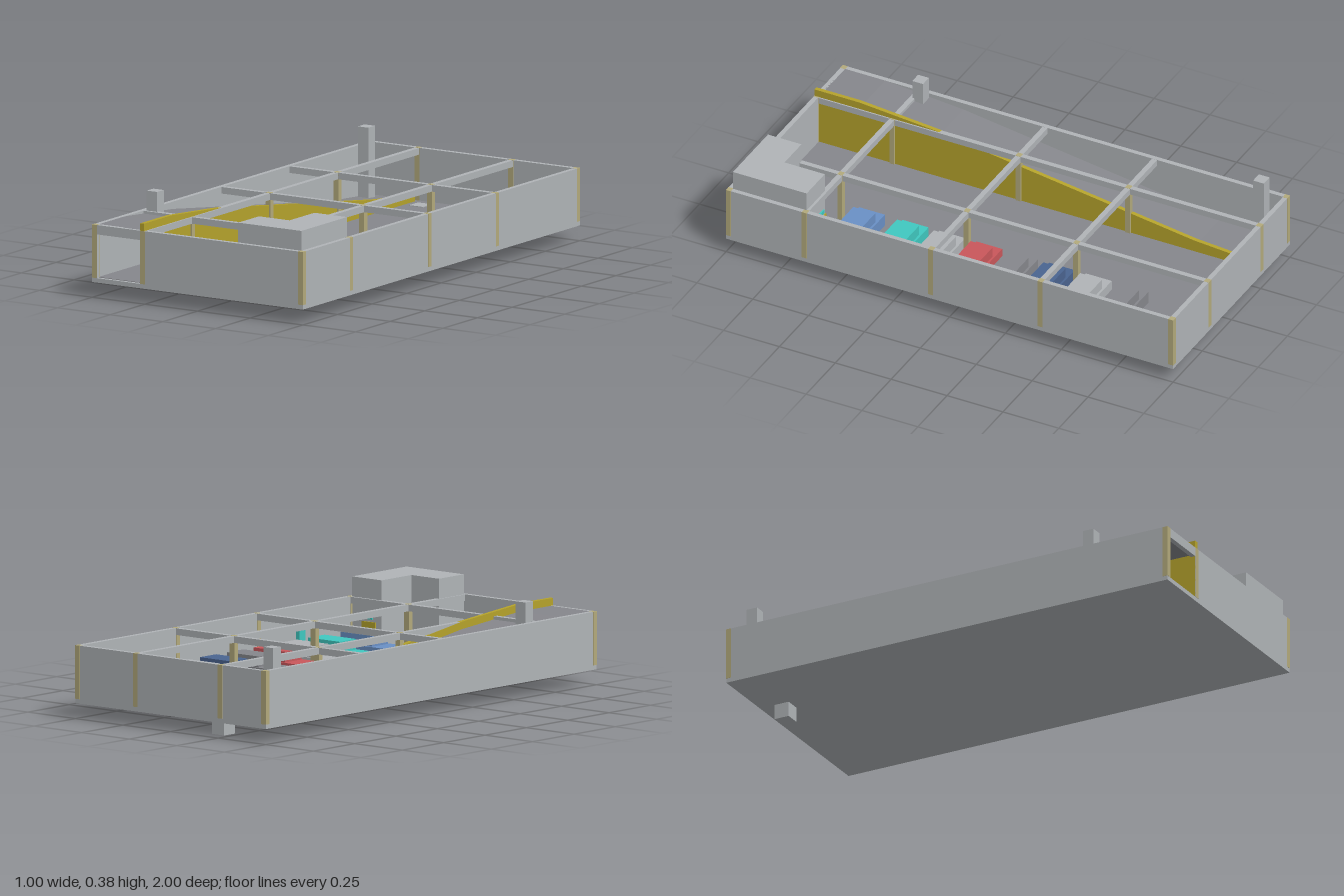
import * as THREE from 'three';

const mat = (name, color) => {
  const m = new THREE.MeshStandardMaterial({ color });
  m.name = name;
  return m;
};

export function createModel() {
  const M = {
    concrete: mat('light concrete', 0xb0b4b7),
    floor: mat('dark floor', 0x86878c),
    yellow: mat('guard yellow', 0xb5a32c),
    khaki: mat('column khaki', 0xb3aa7c),
    red: mat('red paint', 0xc9575b),
    teal: mat('teal paint', 0x40c8c0),
    navy: mat('navy paint', 0x4a6490),
    blue: mat('blue paint', 0x6a90c6),
  };
  const root = new THREE.Group();
  root.name = 'parkingGarage';

  // Box given by its lower and upper corner
  const box = (name, m, [x0, y0, z0], [x1, y1, z1], parent = root) => {
    const mesh = new THREE.Mesh(new THREE.BoxGeometry(x1 - x0, y1 - y0, z1 - z0), m);
    mesh.position.set((x0 + x1) / 2, (y0 + y1) / 2, (z0 + z1) / 2);
    mesh.name = name;
    parent.add(mesh);
    return mesh;
  };
  // Side profile of [z, y] points extruded from x0 to x1
  const sideProfile = (name, m, pts, x0, x1) => {
    const shape = new THREE.Shape(pts.map(([z, y]) => new THREE.Vector2(z, y)));
    const g = new THREE.ExtrudeGeometry(shape, { depth: x1 - x0, bevelEnabled: false });
    g.rotateY(-Math.PI / 2).translate(x1, 0, 0);
    const mesh = new THREE.Mesh(g, m);
    mesh.name = name;
    root.add(mesh);
  };

  const FLOOR = 0.082, TOP = 0.295;

  // Slab, floor finish, sump pit
  box('slab', M.concrete, [-0.5, 0.062, -1], [0.5, 0.078, 1]);
  box('floorFinish', M.floor, [-0.485, 0.077, -0.985], [0.485, FLOOR, 0.985]);
  box('sumpPit', M.concrete, [-0.225, 0, -0.935], [-0.16, 0.085, -0.87]);

  // Outer walls
  box('leftWall', M.concrete, [0.48, 0.062, -1], [0.5, TOP, 1]);
  box('rightWall', M.concrete, [-0.5, 0.062, -1], [-0.48, TOP, 1]);
  box('backWall', M.concrete, [-0.5, 0.062, -1], [0.5, TOP, -0.98]);

  // Front wall with the entrance opening
  const front = new THREE.Shape([
    [-0.5, 0.062], [0.5, 0.062], [0.5, TOP], [-0.5, TOP],
  ].map((p) => new THREE.Vector2(...p)));
  front.holes.push(new THREE.Path([
    [-0.477, 0.08], [-0.477, 0.257], [-0.272, 0.257], [-0.272, 0.08],
  ].map((p) => new THREE.Vector2(...p))));
  const frontWall = new THREE.Mesh(
    new THREE.ExtrudeGeometry(front, { depth: 0.02, bevelEnabled: false }), M.concrete);
  frontWall.position.z = 0.98;
  frontWall.name = 'frontWall';
  root.add(frontWall);

  // Roof beams
  const beamX = [-0.26, 0.185], beamZ = [-0.405, 0.085, 0.65];
  for (const x of beamX) box('longBeam', M.concrete, [x - 0.011, 0.268, -0.99], [x + 0.011, 0.2945, 0.99]);
  for (const z of beamZ) box('crossBeam', M.concrete, [-0.49, 0.268, z - 0.011], [0.49, 0.2945, z + 0.011]);

  // Columns: under beam crossings, along the walls and in the corners
  const column = (x, z) =>
    box('column', M.khaki, [x - 0.012, 0.08, z - 0.011], [x + 0.012, 0.2952, z + 0.011]);
  for (const z of beamZ) {
    for (const x of beamX) column(x, z);
    column(0.489, z);
  }
  for (const x of [-0.489, 0.489]) for (const z of [-0.99, 0.99]) column(x, z);
  column(-0.26, -0.99);
  column(0.185, -0.99);
  column(-0.26, 0.99);

  // Ramp with eased ends, and its guard wall
  const line = [[0.985, 0.295], [0.8, 0.295], [0.45, 0.266], [-0.7, 0.103], [-0.96, 0.084]];
  sideProfile('ramp', M.floor,
    [...line, ...line.map(([z, y]) => [z, Math.max(y - 0.03, 0.079)]).reverse()], -0.48, -0.27);
  sideProfile('rampGuard', M.yellow,
    [...line.map(([z, y], i) => [i ? z : 0.9995, y + 0.03]), [-0.96, 0.08], [0.9995, 0.08]],
    -0.2722, -0.255);

  // Ventilation shafts
  for (const z of [-0.9, 0.625]) box('shaft', M.concrete, [-0.472, 0.08, z - 0.024], [-0.422, 0.375, z + 0.024]);

  // L-shaped stair core rising above the roof
  const core = new THREE.Shape([
    [0.325, 0.65], [0.48, 0.65], [0.48, 0.98], [0.18, 0.98], [0.18, 0.83], [0.325, 0.83],
  ].map(([x, z]) => new THREE.Vector2(x, -z)));
  const coreMesh = new THREE.Mesh(
    new THREE.ExtrudeGeometry(core, { depth: 0.295, bevelEnabled: false }).rotateX(-Math.PI / 2), M.concrete);
  coreMesh.position.y = 0.08;
  coreMesh.name = 'stairCore';
  root.add(coreMesh);
  box('door', M.yellow, [0.345, FLOOR, 0.632], [0.415, 0.205, 0.638]);
  box('doorSign', M.teal, [0.36, 0.215, 0.632], [0.4, 0.232, 0.638]);
  box('chargingPoint', M.teal, [0.462, 0.14, 0.312], [0.481, 0.21, 0.348]);

  // Floor drains
  for (const [a, b] of [[-0.88, -0.74], [-0.485, -0.345], [-0.095, 0.05], [0.3, 0.44], [0.69, 0.835]])
    box('drain', M.floor, [-0.059, 0.08, a], [-0.051, 0.087, b]);

  // Parked cars
  const cars = [
    [-0.655, M.floor], [-0.49, M.concrete], [-0.325, M.navy], [-0.16, M.floor],
    [0, M.red], [0.165, M.concrete], [0.33, M.teal], [0.525, M.blue],
  ];
  for (const [z, paint] of cars) {
    const car = new THREE.Group();
    car.name = 'car';
    car.position.z = z;
    box('carBody', paint, [0.16, 0.088, -0.058], [0.45, 0.14, 0.058], car);
    box('carCabin', paint, [0.225, 0.14, -0.049], [0.39, 0.183, 0.049], car);
    root.add(car);
  }

  return root;
}
